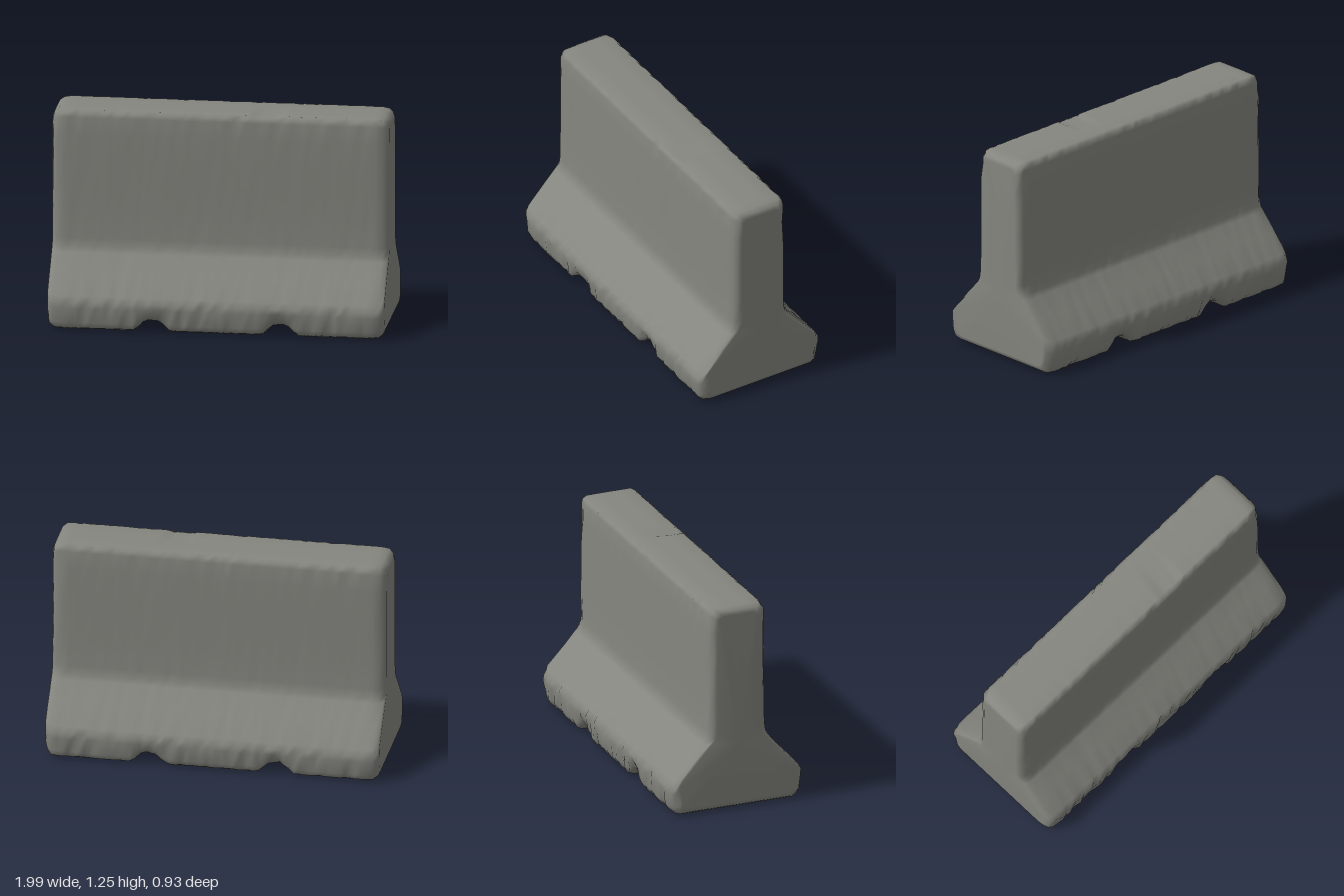
import * as THREE from 'three';

const HALF = 0.975, H = 1.245, TILT = 0.063;

// seeded random for the worn edges
function makeRandom(seed) {
  return () => {
    seed = (seed * 16807) % 2147483647;
    return seed / 2147483647;
  };
}

// half profile [z, y, wear] from the ground up to the crown
const HALF_PROFILE = [
  [0.2, 0, 0], [0.355, 0, 0], [0.385, 0.012, 0.01], [0.402, 0.045, 0.012], [0.41, 0.13, 0.006],
  [0.408, 0.165, 0.012], [0.39, 0.2, 0.006], [0.29, 0.312, 0.002], [0.205, 0.41, 0.003],
  [0.188, 0.44, 0.003], [0.18, 0.49, 0.002], [0.177, 0.65, 0.001], [0.176, 0.8, 0.001],
  [0.176, 0.95, 0.001], [0.175, 1.1, 0.001], [0.174, 1.205, 0.005], [0.165, 1.23, 0.008], [0.145, H, 0.003],
];

// closed ring: up the front, over the crown, down the back, across the base
function makeRing() {
  const back = HALF_PROFILE.map(([z, y, w]) => [-z, y, w]).reverse();
  return [...HALF_PROFILE, [0.05, H, 0], [-0.05, H, 0], ...back, [0, 0, 0]];
}

// stations along the length: [x, inset at the bevelled ends]
function makeStations() {
  const end = [[HALF, 0.045], [HALF - 0.01, 0.02], [HALF - 0.035, 0.004]];
  const list = end.map(([x, d]) => [-x, d]);
  for (let i = 0; i <= 60; i++) list.push([-0.9 + i * 0.03, 0]);
  return [...list, ...end.reverse()];
}

// two drainage channels under the base
function channelLift(x) {
  const u = Math.abs(Math.abs(x) - 0.37);
  return 0.06 * (1 - THREE.MathUtils.smoothstep(u, 0.025, 0.115));
}

function barrierGeometry() {
  const random = makeRandom(4711);
  const ring = makeRing(), stations = makeStations();
  const n = ring.length, positions = [], index = [];

  stations.forEach(([x, inset]) => {
    const lift = channelLift(x);
    ring.forEach(([z, y, wear]) => {
      const chip = random() ** 3;
      const d = inset + chip * (wear * 1.6 + (inset > 0 ? 0.008 : 0));
      let py = inset + y * (H - 2 * inset) / H;
      let pz = Math.sign(z) * Math.max(Math.abs(z) - d, 0);
      const low = Math.max(0, 1 - y / 0.14);
      py += lift * low;
      if (Math.abs(z) > 0.3) pz -= Math.sign(z) * lift * low * 0.3;
      if (y > 1.2) py -= chip * wear;
      // shallow dent in the crown
      if (y === H && z > 0 && Math.abs(x - 0.27) < 0.07) py -= 0.008;
      positions.push(x, py, pz);
    });
  });

  // long skin
  for (let i = 0; i < stations.length - 1; i++) {
    for (let j = 0; j < n; j++) {
      const k = (j + 1) % n;
      const a = i * n + j, b = a + n, c = (i + 1) * n + k, e = i * n + k;
      index.push(a, b, c, a, c, e);
    }
  }

  // end faces
  const last = (stations.length - 1) * n, centre = positions.length / 3;
  positions.push(-HALF, 0.4, 0, HALF, 0.4, 0);
  for (let j = 0; j < n; j++) {
    const k = (j + 1) % n;
    index.push(centre, j, k, centre + 1, last + k, last + j);
  }

  const geometry = new THREE.BufferGeometry();
  geometry.setAttribute('position', new THREE.Float32BufferAttribute(positions, 3));
  geometry.setIndex(index);
  geometry.computeVertexNormals();
  return geometry;
}

export function createModel() {
  const concrete = new THREE.MeshStandardMaterial({ color: 0x85867f });
  concrete.name = 'concrete';

  const barrier = new THREE.Mesh(barrierGeometry(), concrete);
  barrier.name = 'concreteBarrier';
  barrier.rotation.y = TILT;

  const group = new THREE.Group();
  group.name = 'roadBarrier';
  group.add(barrier);
  return group;
}
